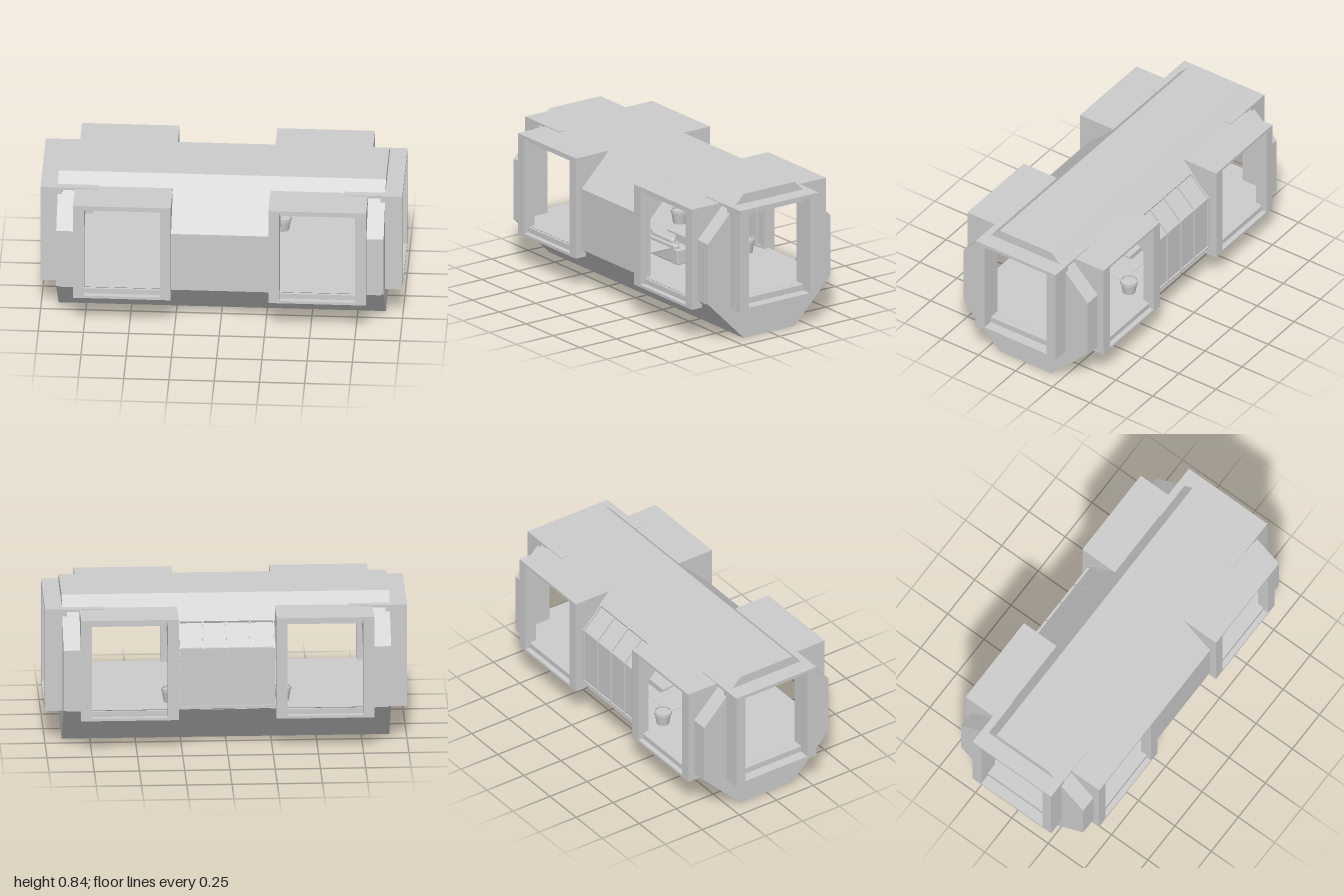
import * as THREE from 'three';
import { RoundedBoxGeometry } from 'three/addons/geometries/RoundedBoxGeometry.js';

const material = new THREE.MeshStandardMaterial({ color: 0xcccccc, flatShading: true });
const smooth = new THREE.MeshStandardMaterial({ color: 0xcccccc });

function add(parent, name, geometry, mat = material) {
  const mesh = new THREE.Mesh(geometry, mat);
  mesh.name = name;
  parent.add(mesh);
  return mesh;
}

// Box from its limits on each axis
function box(parent, name, x0, x1, y0, y1, z0, z1) {
  const g = new THREE.BoxGeometry(x1 - x0, y1 - y0, z1 - z0);
  g.translate((x0 + x1) / 2, (y0 + y1) / 2, (z0 + z1) / 2);
  return add(parent, name, g);
}

function softBox(parent, name, x0, x1, y0, y1, z0, z1, r) {
  const g = new RoundedBoxGeometry(x1 - x0, y1 - y0, z1 - z0, 3, r);
  g.translate((x0 + x1) / 2, (y0 + y1) / 2, (z0 + z1) / 2);
  return add(parent, name, g, smooth);
}

// Cross-section of [z, y] points extruded along x; side = -1 mirrors it to the back
function section(parent, name, points, x0, x1, side = 1, hole = null) {
  const shape = new THREE.Shape(points.map(([z, y]) => new THREE.Vector2(z * side, y)));
  if (hole) shape.holes.push(new THREE.Path(hole.map(([z, y]) => new THREE.Vector2(z, y))));
  const g = new THREE.ExtrudeGeometry(shape, { depth: x1 - x0, bevelEnabled: false });
  g.rotateY(-Math.PI / 2);
  g.translate(x1, 0, 0);
  return add(parent, name, g);
}

const OCTAGON = [[0.175, 0], [0.42, 0.245], [0.42, 0.595], [0.175, 0.84],
  [-0.175, 0.84], [-0.42, 0.595], [-0.42, 0.245], [-0.175, 0]];
const BASE = [[0.175, 0], [0.42, 0.245], [-0.42, 0.245], [-0.175, 0]];
const WALL = [[0.42, 0.24], [0.42, 0.595], [0.175, 0.84], [0.158, 0.8], [0.38, 0.578], [0.38, 0.24]];
const EAVE = [[0.175, 0.84], [0.275, 0.74], [0.265, 0.693], [0.158, 0.8]];
const JAMB = [[0.46, 0.195], [0.46, 0.78], [0.235, 0.78], [0.2, 0.77], [0.39, 0.58], [0.39, 0.195]];

function buildHull(hull) {
  section(hull, 'base', BASE, -0.89, 0.89);
  box(hull, 'roof', -0.89, 0.89, 0.8, 0.84, -0.175, 0.175);
  section(hull, 'frontWall', WALL, -0.3, 0.3);
  for (const side of [1, -1]) {
    for (const s of [1, -1]) {
      section(hull, 'cornerWall', WALL, s > 0 ? 0.78 : -0.89, s > 0 ? 0.89 : -0.78, side);
      section(hull, 'eave', EAVE, s > 0 ? 0.3 : -0.78, s > 0 ? 0.78 : -0.3, side);
    }
  }
  const doorway = [[0.21, 0.245], [0.21, 0.74], [-0.21, 0.74], [-0.21, 0.245]];
  section(hull, 'endWall', OCTAGON, 0.875, 0.905, 1, doorway);
  section(hull, 'endWall', OCTAGON, -0.905, -0.875, 1, doorway);
}

// Glazed bay in the back wall: recessed panes behind slim mullions
function buildBackWindow(bay) {
  section(bay, 'windowHeader', [[0.175, 0.84], [0.3, 0.715], [0.283, 0.675], [0.158, 0.8]], -0.3, 0.3, -1);
  for (let i = 0; i < 4; i++) {
    const x = -0.26 + i * 0.13;
    section(bay, 'pane', [[0.408, 0.24], [0.408, 0.59], [0.29, 0.708], [0.28, 0.69], [0.39, 0.58], [0.39, 0.24]],
      x, x + 0.13, -1);
  }
  for (let i = 0; i < 5; i++) {
    const x = -0.26 + i * 0.13;
    section(bay, 'mullion', [[0.417, 0.24], [0.417, 0.594], [0.298, 0.713], [0.28, 0.69], [0.38, 0.58], [0.38, 0.24]],
      x - 0.004, x + 0.004, -1);
  }
  box(bay, 'windowSill', -0.3, 0.3, 0.24, 0.26, -0.417, -0.38);
  box(bay, 'transom', -0.3, 0.3, 0.583, 0.596, -0.415, -0.38);
}

// Projecting window frame on a long side
function buildSidePortal(portal, cx, side) {
  const zBox = (name, x0, x1, y0, y1, a, b) =>
    box(portal, name, x0, x1, y0, y1, side > 0 ? a : -b, side > 0 ? b : -a);
  const l = cx - 0.27, r = cx + 0.27;
  section(portal, 'jamb', JAMB, l, l + 0.06, side);
  section(portal, 'jamb', JAMB, r - 0.06, r, side);
  zBox('portalRoof', l + 0.06, r - 0.06, 0.765, 0.78, 0.23, 0.46);
  zBox('sill', l + 0.06, r - 0.06, 0.195, 0.21, 0.36, 0.46);
  zBox('threshold', l + 0.06, r - 0.06, 0.21, 0.24, 0.39, 0.43);
  zBox('headRail', l + 0.06, r - 0.06, 0.735, 0.765, 0.4, 0.43);
}

// Projecting doorway at an end
function buildEndPortal(portal, s) {
  const xBox = (name, a, b, y0, y1, z0, z1) =>
    box(portal, name, s > 0 ? a : -b, s > 0 ? b : -a, y0, y1, z0, z1);
  xBox('doorJamb', 0.88, 1, 0.195, 0.785, 0.21, 0.27);
  xBox('doorJamb', 0.88, 1, 0.195, 0.785, -0.27, -0.21);
  xBox('doorRoof', 0.88, 1, 0.765, 0.785, -0.21, 0.21);
  xBox('roofPlate', 0.68, 0.88, 0.77, 0.785, -0.27, 0.27);
  xBox('doorSill', 0.9, 1, 0.195, 0.21, -0.21, 0.21);
  xBox('doorThreshold', 0.88, 0.94, 0.21, 0.244, -0.21, 0.21);
  xBox('doorHeadRail', 0.88, 0.94, 0.73, 0.765, -0.21, 0.21);
}

function buildFurniture(room) {
  // Sofa against the front wall, facing the back window
  softBox(room, 'sofaSeat', -0.25, 0.25, 0.246, 0.3, 0.025, 0.165, 0.01);
  softBox(room, 'sofaBack', -0.25, 0.25, 0.25, 0.355, 0.125, 0.165, 0.012);
  for (const s of [1, -1]) {
    const x = s * 0.25;
    softBox(room, 'sofaArm', x - 0.025, x + 0.025, 0.246, 0.333, 0.015, 0.165, 0.006);
    softBox(room, 'backCushion', s * 0.11 - 0.1, s * 0.11 + 0.1, 0.3, 0.38, 0.12, 0.155, 0.016);
    softBox(room, 'pillow', s * 0.17 - 0.035, s * 0.17 + 0.035, 0.3, 0.355, 0.1, 0.12, 0.009);
    // Tapered planters in the corners of the glazed bay
    const tub = add(room, 'planter', new THREE.LatheGeometry(
      [[0, 0], [0.036, 0], [0.046, 0.06], [0.05, 0.062], [0.05, 0.08], [0.043, 0.08], [0.043, 0.068], [0, 0.068]]
        .map(([x, y]) => new THREE.Vector2(x, y)), 20));
    tub.position.set(s * 0.31, 0.245, -0.28);
  }
  // Low table
  box(room, 'tableTop', -0.12, 0.12, 0.295, 0.305, -0.148, -0.054);
  box(room, 'tablePedestal', -0.07, 0.07, 0.245, 0.295, -0.128, -0.074);
  box(room, 'rug', -0.25, 0.25, 0.243, 0.248, -0.2, 0.01);
  softBox(room, 'wallShelf', -0.25, 0.25, 0.34, 0.352, 0.195, 0.385, 0.005);
}

export function createModel() {
  const model = new THREE.Group();
  model.name = 'habitatModule';
  const group = (name) => {
    const g = new THREE.Group();
    g.name = name;
    model.add(g);
    return g;
  };
  buildHull(group('hull'));
  buildBackWindow(group('backWindow'));
  for (const s of [1, -1]) {
    buildEndPortal(group('endPortal'), s);
    for (const side of [1, -1]) buildSidePortal(group('sidePortal'), s * 0.54, side);
  }
  buildFurniture(group('furniture'));
  return model;
}
